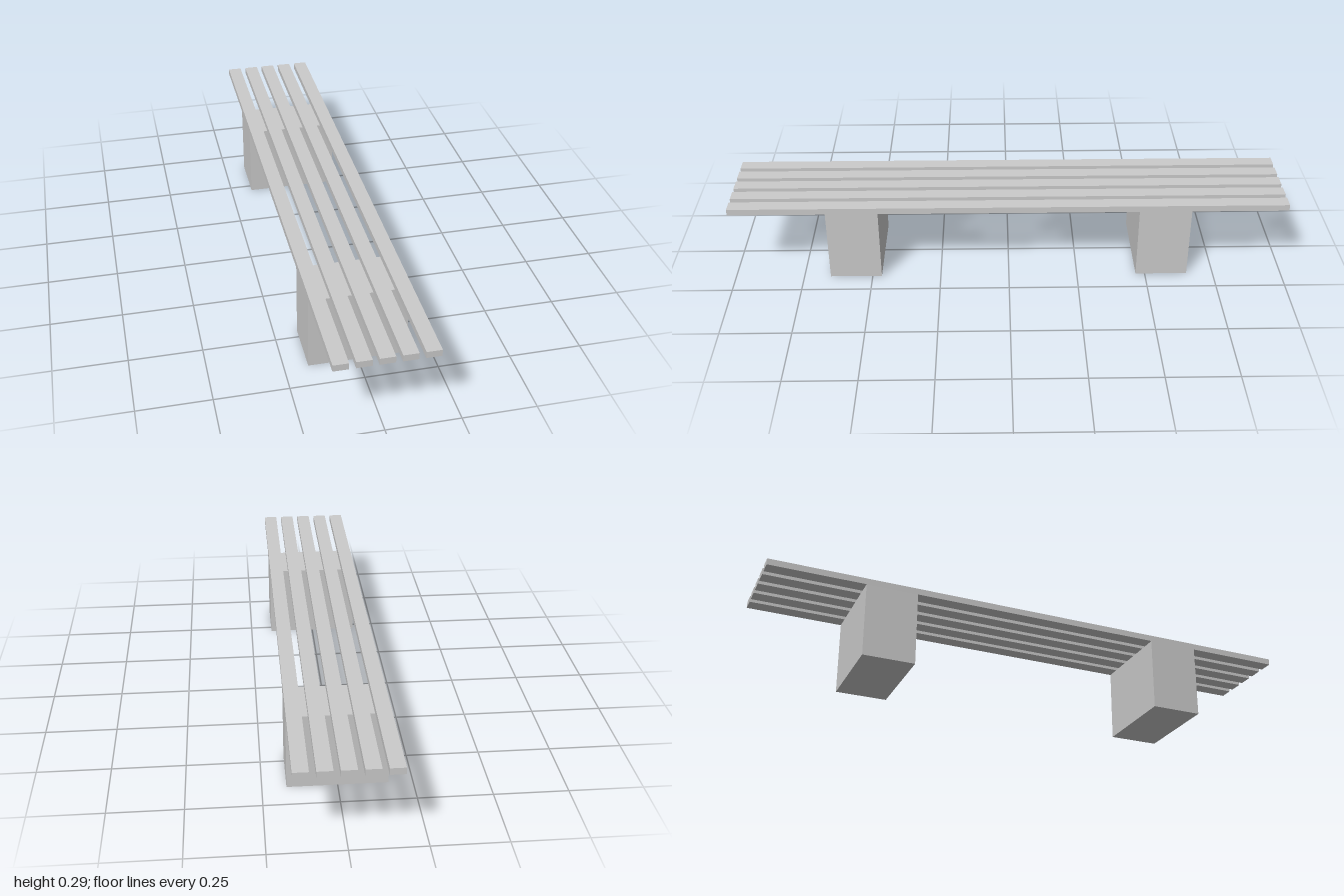
import * as THREE from 'three';

const WIDTH = 0.338, LEG_HEIGHT = 0.269, TOP = 0.292;
const SLATS = 5, SLAT_WIDTH = 0.0505;

export function createModel() {
  const bench = new THREE.Group();
  bench.name = 'bench';
  const material = new THREE.MeshStandardMaterial({ color: 0xcccccc });

  // Box standing on height y
  function addBox(name, w, h, d, x, y, z) {
    const mesh = new THREE.Mesh(new THREE.BoxGeometry(w, h, d), material);
    mesh.name = name;
    mesh.position.set(x, y + h / 2, z);
    bench.add(mesh);
  }

  // Two solid block legs
  for (const side of [-1, 1]) {
    addBox(side > 0 ? 'frontLeg' : 'backLeg', WIDTH, LEG_HEIGHT, 0.187, 0, 0, side * 0.56);
  }

  // Evenly spaced seat slats running the full length
  const pitch = (WIDTH - SLAT_WIDTH) / (SLATS - 1);
  for (let i = 0; i < SLATS; i++) {
    const x = (i - (SLATS - 1) / 2) * pitch;
    addBox(`seatSlat${i + 1}`, SLAT_WIDTH, TOP - LEG_HEIGHT, 2, x, LEG_HEIGHT, 0);
  }

  return bench;
}
